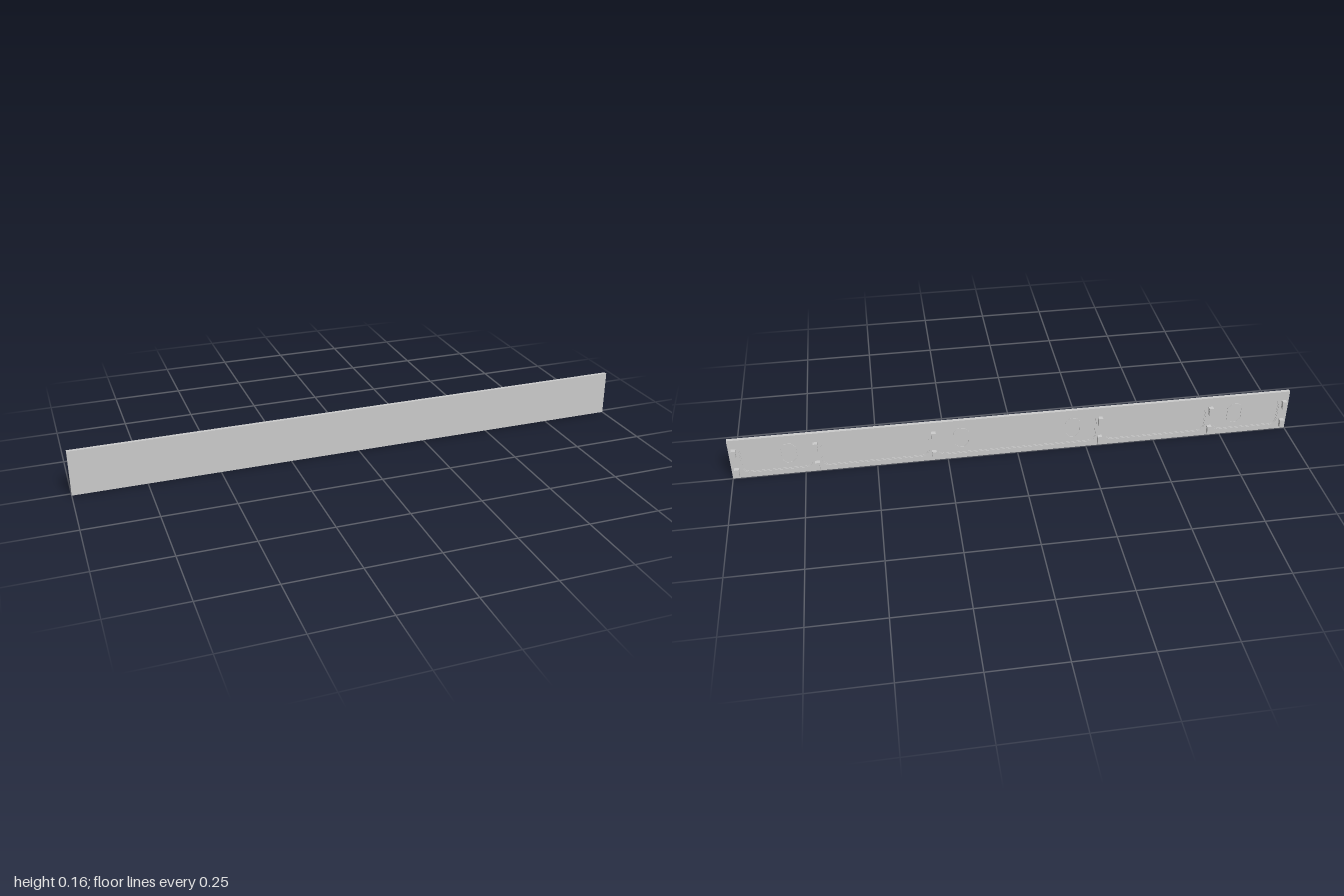
import * as THREE from 'three';

const grey = new THREE.MeshStandardMaterial({ color: 0xcccccc, flatShading: true });
const BACK = 0.001, FRONT = 0.0135, FLOOR = 0.004, TIP = -0.0135;

// Rectangle outline with rounded corners, added to a Shape or Path
function roundedRect(path, x0, y0, x1, y1, r) {
  path.moveTo(x0 + r, y0);
  path.lineTo(x1 - r, y0);
  path.absarc(x1 - r, y0 + r, r, -Math.PI / 2, 0);
  path.lineTo(x1, y1 - r);
  path.absarc(x1 - r, y1 - r, r, 0, Math.PI / 2);
  path.lineTo(x0 + r, y1);
  path.absarc(x0 + r, y1 - r, r, Math.PI / 2, Math.PI);
  path.lineTo(x0, y0 + r);
  path.absarc(x0 + r, y0 + r, r, Math.PI, Math.PI * 1.5);
  return path;
}

// Extrudes a shape between two z values
function slab(name, shape, z0, z1) {
  const geometry = new THREE.ExtrudeGeometry(shape, { depth: z1 - z0, bevelEnabled: false, curveSegments: 6 });
  geometry.translate(0, 0, z0);
  const mesh = new THREE.Mesh(geometry, grey);
  mesh.name = name;
  return mesh;
}

function box(name, x0, x1, y0, y1, z0, z1) {
  const mesh = new THREE.Mesh(new THREE.BoxGeometry(x1 - x0, y1 - y0, z1 - z0), grey);
  mesh.position.set((x0 + x1) / 2, (y0 + y1) / 2, (z0 + z1) / 2);
  mesh.name = name;
  return mesh;
}

// Mounting clip: a U-shaped channel in plan under a wider cap
function makeClip(x, y) {
  const clip = new THREE.Group();
  clip.name = 'mountingClip';
  clip.add(box('clipCap', -0.008, 0.008, 0.023, 0.031, TIP, BACK));
  for (const s of [-1, 1]) {
    clip.add(box('clipSide', s * 0.005 - 0.0015, s * 0.005 + 0.0015, 0, 0.023, -0.0095, BACK));
  }
  clip.add(box('clipFace', -0.0065, 0.0065, 0, 0.023, TIP + 0.001, -0.0085));
  clip.position.set(x, y, 0);
  return clip;
}

// Octagonal rim on a pocket floor
function makePadRim(x, y) {
  const octagon = (path, w, h, c) => path.setFromPoints([
    [-w + c, -h], [w - c, -h], [w, -h + c], [w, h - c],
    [w - c, h], [-w + c, h], [-w, h - c], [-w, -h + c],
  ].map(([px, py]) => new THREE.Vector2(x + px, y + py))).closePath();
  const shape = octagon(new THREE.Shape(), 0.028, 0.041, 0.016);
  shape.holes.push(octagon(new THREE.Path(), 0.024, 0.037, 0.0145));
  return slab('padRim', shape, 0.0022, FLOOR);
}

export function createModel() {
  const model = new THREE.Group();
  model.name = 'mountingPanel';

  // Smooth front plate
  model.add(box('frontPlate', -1, 1, 0, 0.16, FLOOR, FRONT));

  // Back frame with five shallow rounded pockets
  const frame = new THREE.Shape().setFromPoints([[-1, 0], [1, 0], [1, 0.16], [-1, 0.16]].map(p => new THREE.Vector2(...p)));
  const pockets = [[-0.965, -0.72], [-0.69, -0.315], [-0.285, 0.285], [0.315, 0.69], [0.72, 0.965]];
  for (const [x0, x1] of pockets) {
    frame.holes.push(roundedRect(new THREE.Path(), x0, 0.02, x1, 0.14, 0.028));
  }
  model.add(slab('backFrame', frame, BACK, FLOOR));

  // Stepped inner lip round each pocket
  for (const [x0, x1] of pockets) {
    const lip = roundedRect(new THREE.Shape(), x0, 0.02, x1, 0.14, 0.028);
    lip.holes.push(roundedRect(new THREE.Path(), x0 + 0.004, 0.024, x1 - 0.004, 0.136, 0.024));
    model.add(slab('pocketLip', lip, 0.0025, FLOOR));
  }

  // Pads and clips, mirrored left and right
  for (const s of [-1, 1]) {
    for (const x of [0.2, 0.8]) model.add(makePadRim(s * x, 0.084));
    for (const x of [0.298, 0.706, 0.982]) {
      for (const y of [0.0125, 0.0925]) model.add(makeClip(s * x, y));
    }
  }
  return model;
}
